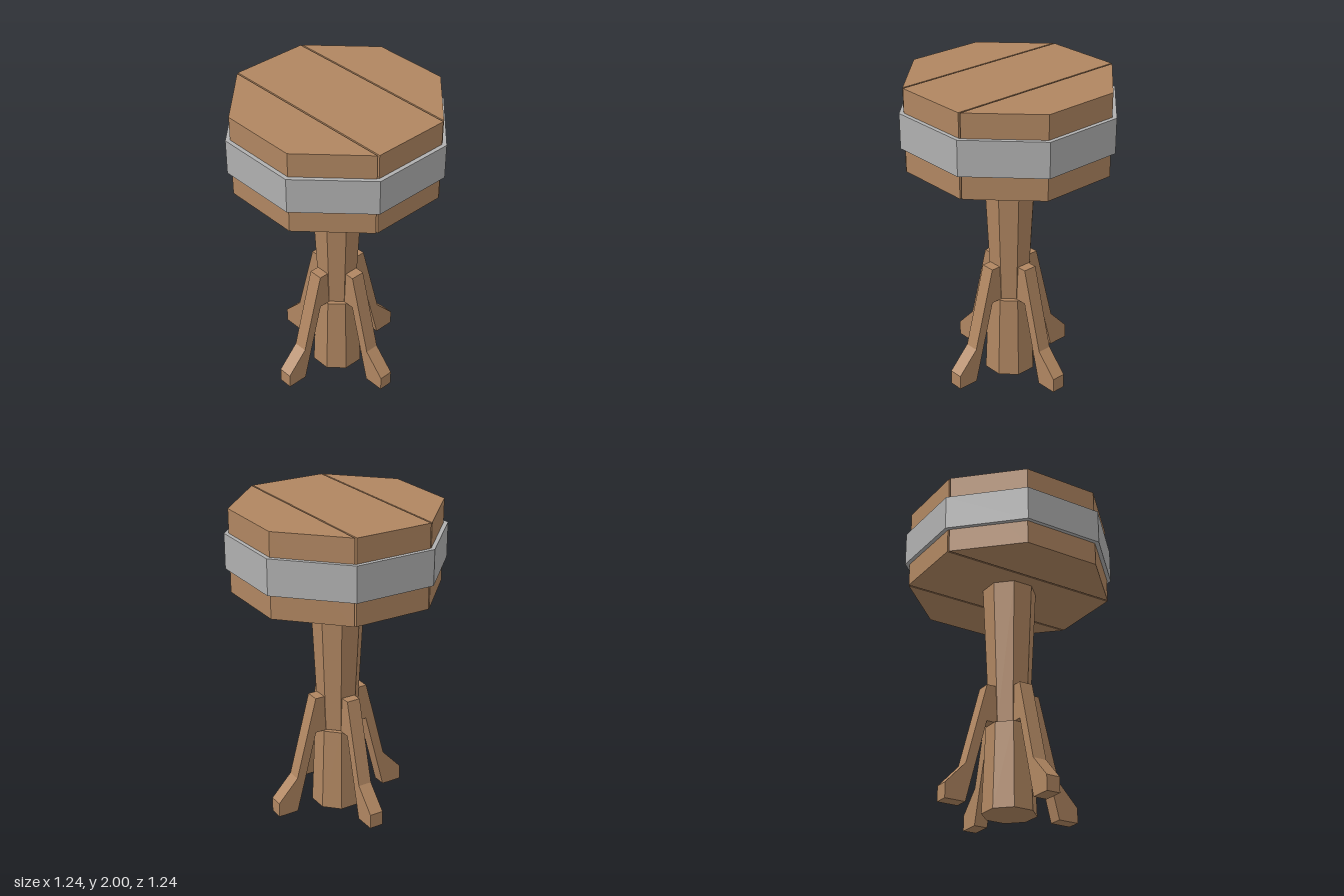
import * as THREE from 'three';

const wood = new THREE.MeshStandardMaterial({ color: 0xb08661 });
wood.name = 'wood';
wood.flatShading = true;
const metal = new THREE.MeshStandardMaterial({ color: 0xb0b0b0 });
metal.name = 'greyMetal';
metal.flatShading = true;

const toShape = (points) => new THREE.Shape(points.map(([x, y]) => new THREE.Vector2(x, y)));

// Octagon with flat sides on the axes: a = centre to side, h = half side length
const octagon = (a, h) => [[a, -h], [a, h], [h, a], [-h, a], [-a, h], [-a, -h], [-h, -a], [h, -a]];

// Horizontal slab between two heights
function slab(name, shape, y0, y1, material) {
  const geometry = new THREE.ExtrudeGeometry(shape, { depth: y1 - y0, bevelEnabled: false });
  geometry.rotateX(-Math.PI / 2);
  const mesh = new THREE.Mesh(geometry, material);
  mesh.name = name;
  mesh.position.y = y0;
  return mesh;
}

// Tapered eight-sided post with flat sides on the axes
function post(name, top, bottom, y0, y1) {
  const k = 1 / Math.cos(Math.PI / 8);
  const geometry = new THREE.CylinderGeometry(top * k, bottom * k, y1 - y0, 8, 1, false, Math.PI / 8);
  const mesh = new THREE.Mesh(geometry, wood);
  mesh.name = name;
  mesh.position.y = (y0 + y1) / 2;
  return mesh;
}

export function createModel() {
  const model = new THREE.Group();
  model.name = 'woodenStand';

  // Top block: three planks with open gaps between them
  const top = new THREE.Group();
  top.name = 'topBlock';
  const sidePlank = [[0.257, -0.592], [0.597, -0.248], [0.597, 0.248], [0.257, 0.592]];
  const centrePlank = [[-0.247, -0.597], [0.247, -0.597], [0.247, 0.597], [-0.247, 0.597]];
  top.add(slab('centrePlank', toShape(centrePlank), 1.48, 2, wood));
  top.add(slab('leftPlank', toShape(sidePlank), 1.48, 2, wood));
  const right = slab('rightPlank', toShape(sidePlank), 1.48, 2, wood);
  right.rotation.y = Math.PI;
  top.add(right);

  // Metal hoop around the planks
  const ring = toShape(octagon(0.622, 0.26));
  ring.holes.push(new THREE.Path(octagon(0.596, 0.248).map(([x, y]) => new THREE.Vector2(x, y))));
  top.add(slab('metalBand', ring, 1.63, 1.85, metal));
  model.add(top);

  // Column and its foot
  model.add(post('column', 0.158, 0.115, 0.55, 1.48));
  model.add(post('columnFoot', 0.135, 0.155, 0, 0.545));

  // Four braces, one on each side
  const profile = toShape([
    [0.05, 0.545], [0.187, 0.545], [0.327, 0.015], [0.462, 0.015],
    [0.462, 0.11], [0.327, 0.253], [0.187, 0.782], [0.05, 0.782],
  ]);
  const braceGeometry = new THREE.ExtrudeGeometry(profile, { depth: 0.09, bevelEnabled: false });
  braceGeometry.translate(0, 0, -0.045);
  ['leftBrace', 'backBrace', 'rightBrace', 'frontBrace'].forEach((name, i) => {
    const brace = new THREE.Mesh(braceGeometry, wood);
    brace.name = name;
    brace.rotation.y = i * Math.PI / 2;
    model.add(brace);
  });

  return model;
}
